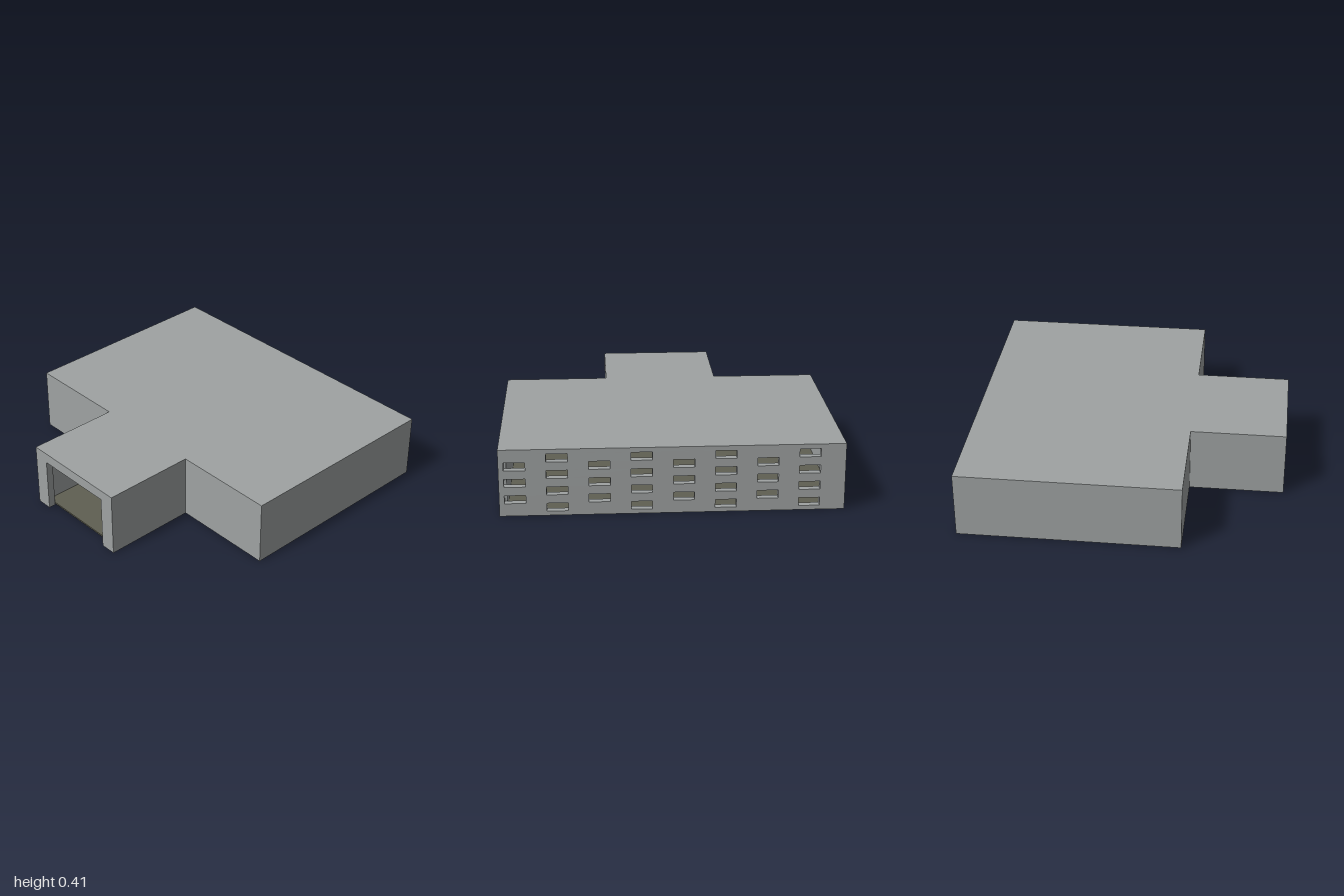
import * as THREE from 'three';

const H = 0.405;          // overall height
const ROOF = 0.025;       // roof thickness
const T = 0.045;          // wall thickness
const BACK = -0.96, STEP = 0.378, FRONT = 0.96;
const WING = 0.356;       // half width of the entrance wing
const WALL_H = H - ROOF;

// T-shaped plan, drawn in x and -z, shrunk by an inset
function planShape(inset) {
  const w = 1 - inset, g = WING - inset;
  const b = BACK + inset, s = STEP - inset, f = FRONT - inset;
  const pts = [[-w, b], [-w, s], [-g, s], [-g, f], [g, f], [g, s], [w, s], [w, b]];
  return new THREE.Shape(pts.map(([x, z]) => new THREE.Vector2(x, -z)));
}

function slab(inset, y, thickness) {
  const geo = new THREE.ExtrudeGeometry(planShape(inset), { depth: thickness, bevelEnabled: false });
  geo.rotateX(-Math.PI / 2);
  geo.translate(0, y, 0);
  return geo;
}

function rectPath(x0, y0, x1, y1) {
  return new THREE.Path([[x0, y0], [x0, y1], [x1, y1], [x1, y0]].map(([x, y]) => new THREE.Vector2(x, y)));
}

export function createModel() {
  const group = new THREE.Group();
  const concrete = new THREE.MeshStandardMaterial({ color: 0x9fa3a3 });
  concrete.name = 'grey concrete';
  const flooring = new THREE.MeshStandardMaterial({ color: 0x5f5f52 });
  flooring.name = 'olive floor';

  const add = (name, geo, material = concrete) => {
    const mesh = new THREE.Mesh(geo, material);
    mesh.name = name;
    group.add(mesh);
  };
  const wall = (name, x0, x1, z0, z1) => {
    const geo = new THREE.BoxGeometry(x1 - x0, WALL_H, z1 - z0);
    geo.translate((x0 + x1) / 2, WALL_H / 2, (z0 + z1) / 2);
    add(name, geo);
  };

  add('roof', slab(0, WALL_H, ROOF));
  add('floor', slab(T, 0.008, 0.01), flooring);

  // Side walls, shoulder walls and wing walls, mirrored
  for (const [side, s] of [['left', 1], ['right', -1]]) {
    const mirrored = (name, a, b, z0, z1) =>
      wall(side + name, Math.min(s * a, s * b), Math.max(s * a, s * b), z0, z1);
    mirrored('SideWall', 1 - T, 1, BACK + T, STEP);
    mirrored('ShoulderWall', WING, 1 - T, STEP - T, STEP);
    mirrored('WingWall', WING - T, WING, STEP - T, FRONT - T);
  }

  // Back wall with staggered columns of three and four open windows
  const back = new THREE.Shape([[-1, 0], [1, 0], [1, WALL_H], [-1, WALL_H]].map(([x, y]) => new THREE.Vector2(x, y)));
  for (let col = 0; col < 8; col++) {
    const x1 = 0.97 - col * 0.243;
    const rows = col % 2 ? 4 : 3;
    const base = col % 2 ? 0.026 : 0.077;
    for (let row = 0; row < rows; row++) {
      const y = base + row * 0.1005;
      back.holes.push(rectPath(x1 - 0.123, y, x1, y + 0.049));
    }
  }
  const backGeo = new THREE.ExtrudeGeometry(back, { depth: T, bevelEnabled: false });
  backGeo.translate(0, 0, BACK);
  add('backWindowWall', backGeo);

  // Front wall framing the wide entrance
  const D = 0.258, TOP = 0.34;
  const front = new THREE.Shape(
    [[-WING, 0], [-D, 0], [-D, TOP], [D, TOP], [D, 0], [WING, 0], [WING, WALL_H], [-WING, WALL_H]]
      .map(([x, y]) => new THREE.Vector2(x, y)));
  const frontGeo = new THREE.ExtrudeGeometry(front, { depth: T, bevelEnabled: false });
  frontGeo.translate(0, 0, FRONT - T);
  add('entranceWall', frontGeo);

  return group;
}
